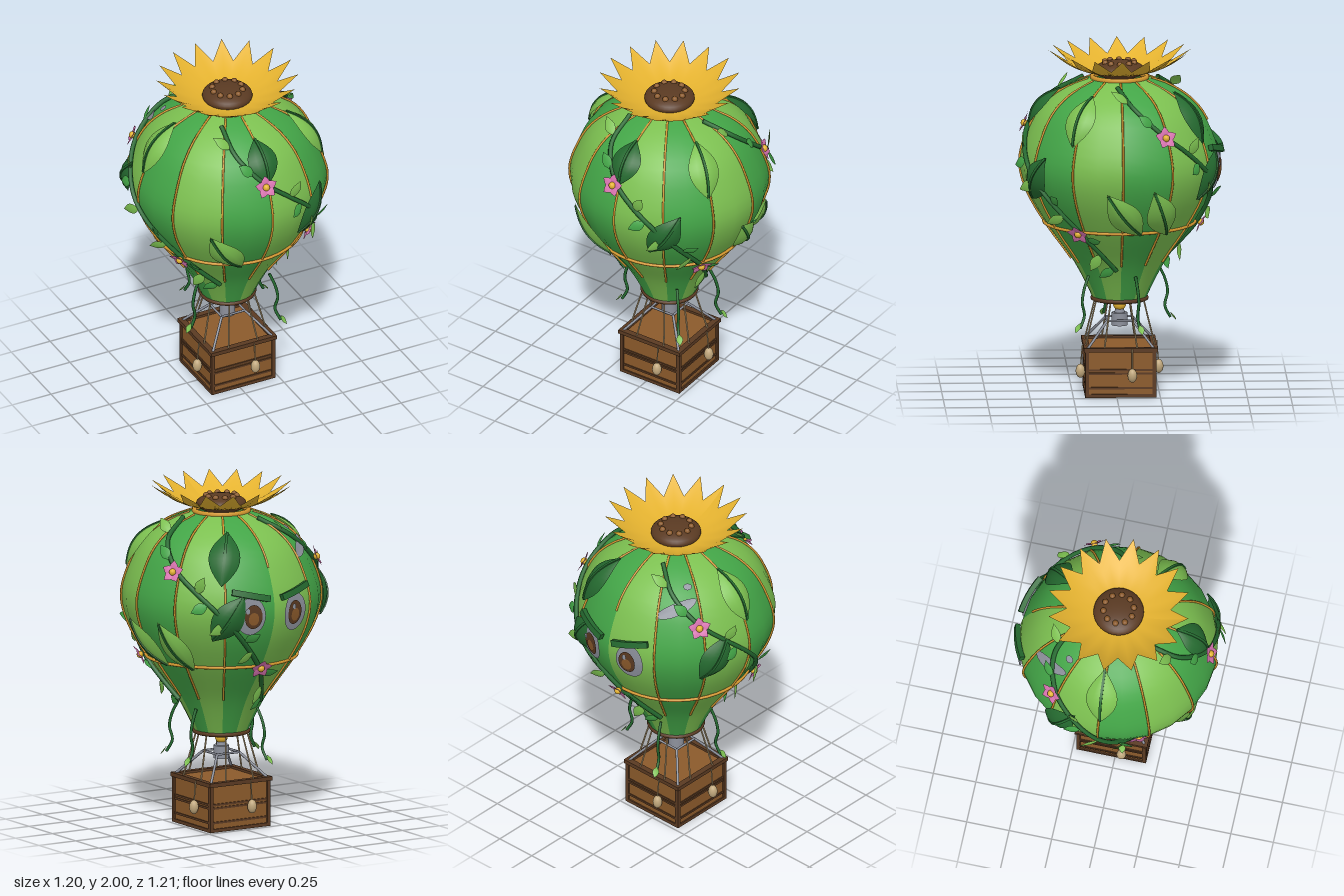
import * as THREE from 'three';

const mat = (name, color, double) => {
  const m = new THREE.MeshStandardMaterial({ color });
  m.name = name;
  if (double) m.side = THREE.DoubleSide;
  return m;
};
const M = {
  light: mat('light green', 0x7cc050, true),
  mid: mat('mid green', 0x43a547, true),
  dark: mat('dark green', 0x24692f, true),
  rope: mat('golden rope', 0xd2962f),
  yellow: mat('petal yellow', 0xe4b22f, true),
  wood: mat('wood', 0x8b5a2b),
  bark: mat('dark wood', 0x5a3a22),
  pink: mat('pink', 0xd873b0, true),
  grey: mat('grey', 0x8d919c, true),
  tan: mat('tan', 0xc0a77c),
};
const RAD = Math.PI / 180;

// Envelope profile (radius, height), sampled evenly along its length
const spline = new THREE.SplineCurve([[0.155, 0.55], [0.207, 0.66], [0.28, 0.79], [0.43, 1.0], [0.54, 1.2],
  [0.572, 1.38], [0.5, 1.59], [0.41, 1.71], [0.28, 1.795], [0.15, 1.84]].map(p => new THREE.Vector2(...p)));
const N = 300;
const profile = spline.getSpacedPoints(N);
const LENGTH = spline.getLength();

// Point on the envelope at angle deg and height y, moved a right, b up and off outward
function place(deg, y, a = 0, b = 0, off = 0) {
  let i = profile.findIndex(p => p.y >= y);
  if (i < 0) i = N;
  const f = THREE.MathUtils.clamp(i + (b / LENGTH) * N, 0, N - 0.001);
  const k = Math.floor(f);
  const p = profile[k].clone().lerp(profile[k + 1], f - k);
  const t = profile[k + 1].clone().sub(profile[k]).normalize();
  const angle = deg * RAD + a / p.x;
  const r = p.x + t.y * off;
  return new THREE.Vector3(r * Math.sin(angle), p.y - t.x * off, r * Math.cos(angle));
}

// Bends a flat geometry (x right, y up, z outward) onto the envelope
function conform(geo, deg, y, off = 0) {
  const pos = geo.attributes.position;
  for (let i = 0; i < pos.count; i++) {
    const v = place(deg, y, pos.getX(i), pos.getY(i), pos.getZ(i) + off);
    pos.setXYZ(i, v.x, v.y, v.z);
  }
  geo.computeVertexNormals();
  return geo;
}

const swell = t => Math.pow(Math.max(0, Math.sin(Math.PI * Math.pow(t, 0.9))), 1.1);

// Pointed, domed leaf blade growing along +y from the origin
function leafGeo(length, width, bulge = 0.02, rise = 0, nx = 4, ny = 14) {
  const geo = new THREE.PlaneGeometry(1, 1, nx, ny);
  const pos = geo.attributes.position;
  for (let i = 0; i < pos.count; i++) {
    const v = pos.getX(i) * 2, t = pos.getY(i) + 0.5;
    const s = swell(t);
    pos.setXYZ(i, v * s * width / 2, t * length, bulge * s * (1 - v * v) + rise * t);
  }
  geo.computeVertexNormals();
  return geo;
}

export function createModel() {
  const model = new THREE.Group();
  model.name = 'balloon';
  const root = new THREE.Group();
  root.name = 'balloonParts';
  root.position.set(0.023, 0, -0.023);
  model.add(root);

  const add = (name, geo, material, x = 0, y = 0, z = 0) => {
    const mesh = new THREE.Mesh(geo, material);
    mesh.name = name;
    mesh.position.set(x, y, z);
    root.add(mesh);
    return mesh;
  };
  const V = (x, y, z) => new THREE.Vector3(x, y, z);
  const tube = (name, pts, r, material, seg = 32) =>
    add(name, new THREE.TubeGeometry(new THREE.CatmullRomCurve3(pts), seg, r, 6), material);
  const hoop = (name, r, t, y, material) =>
    add(name, new THREE.TorusGeometry(r, t, 8, 48).rotateX(Math.PI / 2), material, 0, y, 0);

  // Envelope: twelve gores of alternating green, a rope on each seam (cut short above the face)
  const outline = spline.getSpacedPoints(28);
  for (let i = 0; i < 12; i++) {
    add('gore', new THREE.LatheGeometry(outline, 2, i * 30 * RAD, 30 * RAD), i % 2 ? M.mid : M.light);
    const low = i === 6 ? 1.58 : 0.78;
    const pts = [];
    for (let k = 0; k <= 14; k++) pts.push(place(i * 30, low + k * (1.83 - low) / 14, 0, 0, 0.004));
    tube('seamRope', pts, 0.0065, M.rope, 42);
  }
  // Dark lining seen through the mouth
  const lining = outline.slice(0, 9).map(p => new THREE.Vector2(p.x - 0.008, p.y));
  add('lining', new THREE.LatheGeometry(lining, 24), M.dark);
  hoop('waistRope', 0.437, 0.009, 1.0, M.rope);
  hoop('crownRing', 0.155, 0.016, 1.84, M.rope);
  hoop('mouthRing', 0.155, 0.013, 0.55, M.bark);

  // Sunflower on the crown: one dished ring whose edge runs out into sixteen points
  const corolla = new THREE.RingGeometry(0.1, 0.41, 32, 8);
  const cp = corolla.attributes.position;
  for (let i = 0; i < cp.count; i++) {
    const column = i % 33;
    const t = Math.floor(i / 33) / 8;
    const r = 0.1 + t * (column % 2 ? 0.2 : 0.31);
    const a = column * Math.PI / 16;
    cp.setXYZ(i, r * Math.sin(a), 1.866 + 0.134 * Math.pow((r - 0.1) / 0.31, 2), r * Math.cos(a));
  }
  corolla.computeVertexNormals();
  add('sunflowerPetals', corolla, M.yellow);
  add('sunflowerHeart', new THREE.SphereGeometry(0.145, 32, 16).scale(1, 0.38, 1), M.bark, 0, 1.882, 0);
  for (let i = 0; i < 10; i++) {
    const a = (i * 36 + 18) * RAD;
    add('seed', new THREE.SphereGeometry(0.018, 10, 8), M.wood, 0.088 * Math.sin(a), 1.925, 0.088 * Math.cos(a));
  }

  // Large leaves: angle, height, tilt, length, material
  const bigLeaf = (deg, y, tilt, length, material) => {
    const blade = leafGeo(length, 0.18, 0.03).translate(0, -length / 2, 0).rotateZ(tilt);
    add('largeLeaf', conform(blade, deg, y, 0.012), material);
    const rib = new THREE.BoxGeometry(0.014, length * 0.94, 0.008, 1, 12, 1);
    const pos = rib.attributes.position;
    for (let i = 0; i < pos.count; i++) pos.setZ(i, pos.getZ(i) + 0.03 * swell(pos.getY(i) / length + 0.5));
    add('leafRib', conform(rib.rotateZ(tilt), deg, y, 0.014), M.dark);
  };
  [[0, 1.68, 0, 0.28, M.dark], [59, 1.66, -0.05, 0.35, M.light], [150, 1.65, -0.12, 0.36, M.dark],
    [270, 1.66, 0.05, 0.36, M.light], [31, 1.3, -0.6, 0.33, M.dark], [152, 1.31, -0.6, 0.33, M.dark],
    [246, 1.36, -0.6, 0.32, M.dark], [-28, 1.12, 0.5, 0.37, M.light], [91, 1.12, 0.6, 0.36, M.light],
    [116, 1.12, 0.45, 0.36, M.light]].forEach(l => bigLeaf(...l));

  // Pink blossoms
  const blossom = (deg, y) => {
    for (let i = 0; i < 5; i++) {
      const petal = leafGeo(0.065, 0.05, 0.004, 0.015, 2, 6).rotateZ(i * 72 * RAD);
      add('blossomPetal', conform(petal, deg, y, 0.03), M.pink);
    }
    add('blossomHeart', conform(new THREE.SphereGeometry(0.02, 10, 8), deg, y, 0.036), M.yellow);
  };

  // Three spiralling vines with blossoms and small leaves
  const path = [[-35, 1.81], [-20, 1.71], [-3, 1.57], [11, 1.47], [26, 1.34], [38, 1.21], [57, 1.0], [68, 0.88], [84, 0.76]];
  const sprigs = [[-24, 1.74, 1.2], [-9, 1.62, 0.9], [13, 1.45, -0.5], [20, 1.39, 2.0], [31, 1.28, 1.9], [42, 1.17, -0.9],
    [49, 1.1, 1.8], [61, 0.95, -1.2], [69, 0.87, 2.6], [82, 0.78, 2.2]];
  for (let k = 0; k < 3; k++) {
    const turn = k * 120;
    tube('vine', path.map(([d, y]) => place(d + turn, y, 0, 0, 0.012)), 0.014, M.dark, 64);
    blossom(-3 + turn, 1.555);
    blossom(57 + turn, 1.01);
    sprigs.forEach(([d, y, tilt], i) => {
      const blade = leafGeo(0.1, 0.062, 0.008, i % 2 ? 0.03 : 0.06, 2, 6).rotateZ(tilt);
      add('smallLeaf', conform(blade, d + turn, y, 0.012), i % 2 ? M.mid : M.light);
    });
  }

  // Face on the back: eyes and slanted brows
  const disc = (name, rx, ry, deg, y, off, material, tilt = 0, dx = 0, dy = 0) =>
    add(name, conform(new THREE.CircleGeometry(1, 28).scale(rx, ry, 1).rotateZ(tilt).translate(dx, dy, 0), deg, y, off), material);
  for (const s of [-1, 1]) {
    const deg = 180 + s * 15;
    disc('eyeWhite', 0.086, 0.11, deg, 1.32, 0.012, M.grey);
    disc('iris', 0.052, 0.068, deg, 1.32, 0.018, M.bark, 0, -s * 0.012);
    disc('irisGlow', 0.03, 0.036, deg, 1.31, 0.021, M.wood, 0, -s * 0.012);
    disc('eyeGlint', 0.013, 0.015, deg, 1.32, 0.024, M.grey, 0, -0.025, 0.035);
    const brow = new THREE.BoxGeometry(0.22, 0.034, 0.03, 8, 1, 1).rotateZ(s * 0.22);
    add('brow', conform(brow, deg, 1.435, 0.022), M.dark);
  }

  // Shine patches
  disc('shine', 0.125, 0.036, 223, 1.65, 0.008, M.grey, 0.4);
  disc('shineDot', 0.024, 0.02, 233, 1.74, 0.008, M.grey);

  // Tendrils hanging round the mouth, each ending in a leaf
  [[-0.245, 0.07], [0.255, -0.095], [0.2, 0.21], [-0.11, -0.265]].forEach(([x, z]) => {
    const pts = [[0.88, 0.71], [1.0, 0.64], [1.06, 0.56], [1.0, 0.48], [1.12, 0.41]]
      .map(([f, y]) => V(x * f, y, z * f));
    tube('tendril', pts, 0.009, M.dark, 24);
    const leaf = add('tendrilLeaf', leafGeo(0.065, 0.04, 0.005, 0, 2, 6).rotateX(2.5), M.light, x * 1.12, 0.44, z * 1.12);
    leaf.rotation.y = Math.atan2(x, z);
  });

  // Burner on a strutted frame
  add('burner', new THREE.CylinderGeometry(0.045, 0.045, 0.075, 20), M.grey, 0, 0.425, 0);
  add('burnerNeck', new THREE.CylinderGeometry(0.025, 0.03, 0.03, 16), M.grey, 0, 0.472, 0);
  add('flame', new THREE.SphereGeometry(0.037, 20, 14), M.yellow, 0, 0.51, 0);
  for (let i = 0; i < 4; i++) {
    const q = new THREE.Group();
    q.name = 'basketSide';
    q.rotation.y = i * Math.PI / 2;
    root.add(q);
    const part = (name, geo, material, x, y, z) => q.add(add(name, geo, material, x, y, z));
    const rod = (name, a, b, r, material) =>
      part(name, new THREE.TubeGeometry(new THREE.LineCurve3(a, b), 1, r, 6), material, 0, 0, 0);
    rod('burnerStrut', V(0.19, 0.285, 0.19), V(0.075, 0.425, 0.075), 0.008, M.grey);
    rod('burnerFrame', V(-0.075, 0.425, 0.075), V(0.075, 0.425, 0.075), 0.007, M.grey);
    // Suspension ropes
    for (const s of [-1, 1]) rod('suspensionRope', V(s * 0.095, 0.28, 0.2), V(s * 0.056, 0.55, 0.135), 0.005, M.tan);
    // Basket rim, rails, foot and post
    part('basketRim', new THREE.BoxGeometry(0.425, 0.024, 0.035), M.bark, 0, 0.278, 0.195);
    for (const y of [0.16, 0.14, 0.055]) part('basketRail', new THREE.BoxGeometry(0.405, 0.012, 0.012), M.bark, 0, y, 0.197);
    part('basketFoot', new THREE.BoxGeometry(0.41, 0.02, 0.03), M.bark, 0, 0.01, 0.19);
    part('cornerPost', new THREE.BoxGeometry(0.022, 0.27, 0.022), M.bark, 0.194, 0.14, 0.194);
    // Sandbag on its cord
    rod('sandbagCord', V(0.065, 0.285, 0.216), V(0.065, 0.17, 0.226), 0.004, M.tan);
    part('sandbag', new THREE.SphereGeometry(0.027, 16, 12).scale(1, 1.5, 1), M.tan, 0.065, 0.133, 0.228);
  }
  // Closed basket body on a dark base
  add('basketBody', new THREE.BoxGeometry(0.394, 0.266, 0.394), M.wood, 0, 0.143, 0);
  add('basketBase', new THREE.BoxGeometry(0.38, 0.014, 0.38), M.bark, 0, 0.009, 0);
  return model;
}
